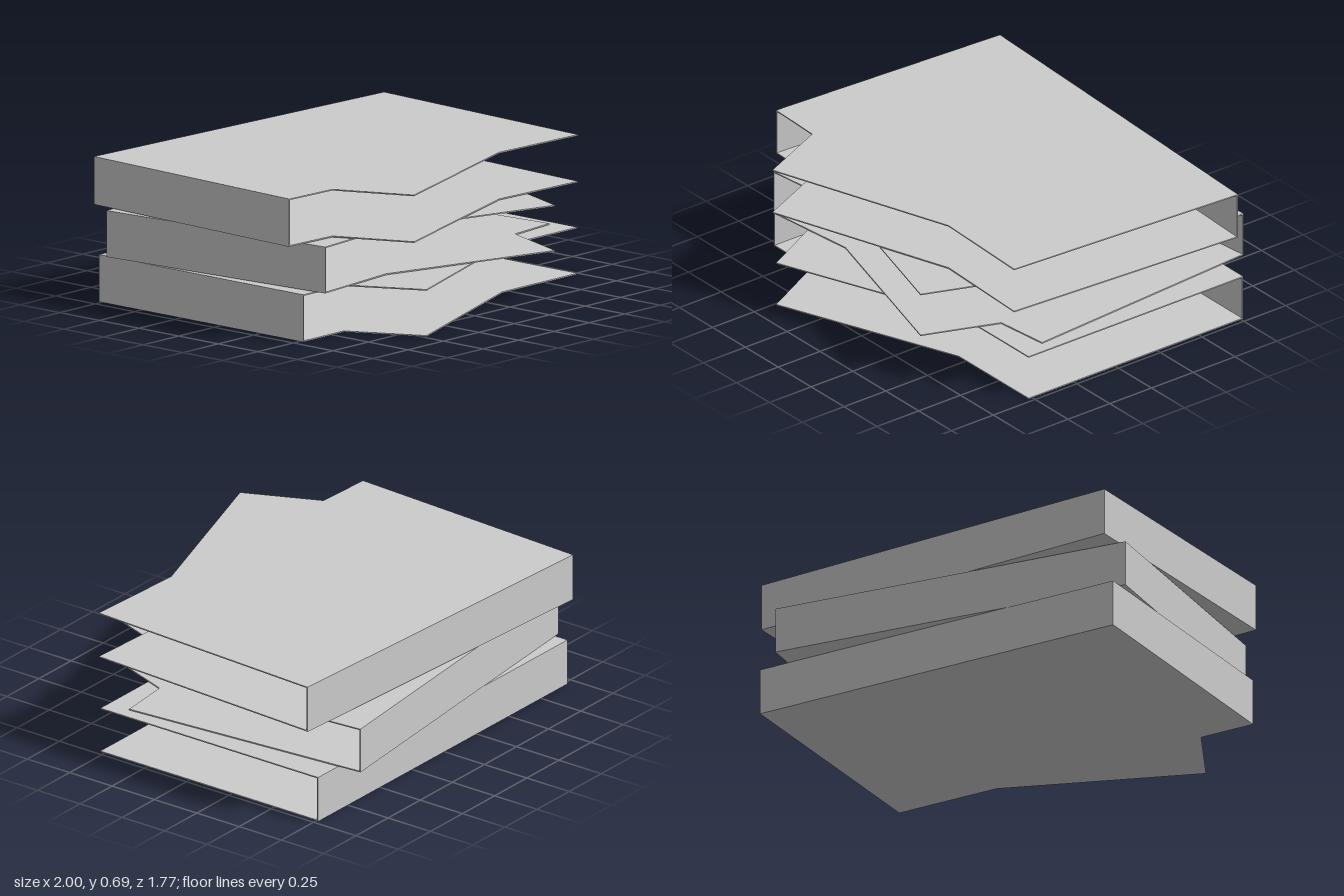
import * as THREE from 'three';

const material = new THREE.MeshStandardMaterial({
  color: 0xcccccc, flatShading: true, side: THREE.DoubleSide,
});
const T = 0.006; // sheet thickness

// Plan outline given as [x, z] points, extruded upwards from y
function slab(name, points, y, height) {
  const shape = new THREE.Shape(points.map(([x, z]) => new THREE.Vector2(x, -z)));
  const geometry = new THREE.ExtrudeGeometry(shape, { depth: height, bevelEnabled: false });
  geometry.rotateX(-Math.PI / 2).translate(0, y, 0);
  const mesh = new THREE.Mesh(geometry, material);
  mesh.name = name;
  return mesh;
}

// L-shaped band that follows the back and left edges, inset by the sheet thickness
function wallOutline(outline) {
  const [bl, br] = outline;
  const fl = outline[outline.length - 1];
  const unit = (a, b) => {
    const d = Math.hypot(b[0] - a[0], b[1] - a[1]);
    return [(b[0] - a[0]) / d * T, (b[1] - a[1]) / d * T];
  };
  const u = unit(bl, br), v = unit(bl, fl);
  return [
    fl, bl, br,
    [br[0] + v[0], br[1] + v[1]],
    [bl[0] + u[0] + v[0], bl[1] + u[1] + v[1]],
    [fl[0] + u[0], fl[1] + u[1]],
  ];
}

// One open sleeve: two equal sheets with a pointed flap, joined at the back and one side
function sleeve({ name, y0, y1, outline }) {
  const group = new THREE.Group();
  group.name = name;
  group.add(
    slab('lowerSheet', outline, y0, T),
    slab('upperSheet', outline, y1 - T, T),
    slab('backAndSideWall', wallOutline(outline), y0 + T, y1 - y0 - 2 * T),
  );
  return group;
}

// Outlines run back left, back right, front right, flap, front left
const layers = [
  {
    name: 'bottomSleeve', y0: 0, y1: 0.228,
    outline: [[-0.955, -0.767], [0.98, -0.762], [0.98, 0.523], [0.45, 0.523],
      [-0.485, 0.88], [-0.67, 0.523], [-0.955, 0.523]],
  },
  {
    name: 'middleSleeve', y0: 0.231, y1: 0.455,
    outline: [[-0.98, -0.695], [0.82, -0.89], [0.922, 0.397], [0.648, 0.426],
      [0.51, 0.8], [-0.39, 0.54], [-0.875, 0.59]],
  },
  {
    name: 'topSleeve', y0: 0.459, y1: 0.69,
    outline: [[-0.935, -0.815], [1, -0.715], [0.93, 0.57], [0.4, 0.545],
      [-0.545, 0.855], [-0.71, 0.487], [-1, 0.474]],
  },
];

export function createModel() {
  const model = new THREE.Group();
  model.name = 'sleeveStack';
  layers.forEach((layer) => model.add(sleeve(layer)));
  return model;
}
